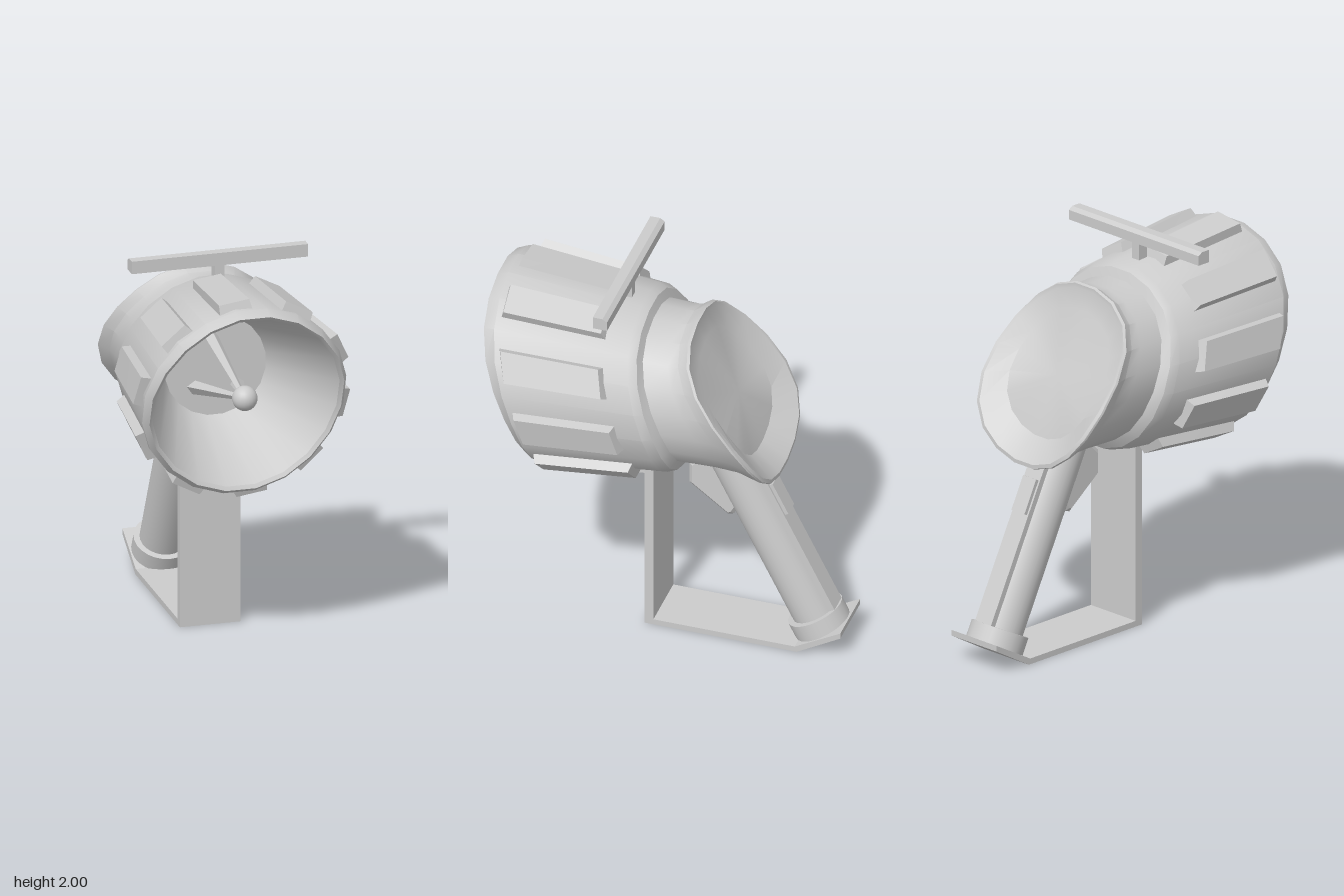
import * as THREE from 'three';
import { toCreasedNormals } from 'three/addons/utils/BufferGeometryUtils.js';

const CY = 1.385; // height of the barrel axis
const SIDES = 20;
const lerp = THREE.MathUtils.lerp;
const material = new THREE.MeshStandardMaterial({ color: 0xcccccc });

function add(parent, name, geometry, x = 0, y = 0, z = 0) {
  const mesh = new THREE.Mesh(geometry, material);
  mesh.name = name;
  mesh.position.set(x, y, z);
  parent.add(mesh);
  return mesh;
}

// Point on a round section whose z slides in an S-curve from bottom to top
function sectionPoint(r, zTop, zBottom, angle) {
  const t = Math.pow((1 + Math.sin(angle)) / 2, 1.2);
  const f = t * t * (3 - 2 * t);
  return [r * Math.cos(angle), CY + r * Math.sin(angle), lerp(zBottom, zTop, f)];
}

// Skin a list of [radius, zTop, zBottom] sections
function loft(sections) {
  const positions = [];
  const index = [];
  sections.forEach(([r, zt, zb]) => {
    for (let j = 0; j < SIDES; j++) {
      positions.push(...sectionPoint(r, zt, zb, ((j + 0.5) / SIDES) * Math.PI * 2));
    }
  });
  for (let i = 0; i < sections.length - 1; i++) {
    for (let j = 0; j < SIDES; j++) {
      const k = (j + 1) % SIDES;
      const a = i * SIDES + j, b = a + SIDES, c = (i + 1) * SIDES + k, d = i * SIDES + k;
      if (sections[i + 1][0] > 0) index.push(a, b, c);
      else index.push(a, b, d);
      if (sections[i][0] > 0 && sections[i + 1][0] > 0) index.push(a, c, d);
      else if (sections[i][0] === 0) index.push(a, b, c);
    }
  }
  const g = new THREE.BufferGeometry();
  g.setAttribute('position', new THREE.Float32BufferAttribute(positions, 3));
  g.setIndex(index);
  return toCreasedNormals(g, 0.5);
}

// Extrude a [z, y] outline across x, centred
function sidePlate(points, width, bevel = 0) {
  const shape = new THREE.Shape(points.map(([z, y]) => new THREE.Vector2(z, y)));
  const g = new THREE.ExtrudeGeometry(shape, {
    depth: width - bevel * 2, bevelEnabled: bevel > 0, bevelSize: bevel,
    bevelOffset: -bevel, bevelThickness: bevel, bevelSegments: 1,
  });
  g.translate(0, 0, -(width - bevel * 2) / 2);
  return g.rotateY(-Math.PI / 2);
}

// Raised grip rib: a box wrapped on to the tapered shell
function ribGeometry(angle) {
  const g = new THREE.BoxGeometry(1, 1, 1, 1, 1, 4);
  const p = g.attributes.position;
  for (let i = 0; i < p.count; i++) {
    const outer = p.getY(i) > 0;
    const u = 0.43 + p.getZ(i) * -(outer ? 0.73 : 0.79);
    const a = angle - p.getX(i) * (outer ? 0.28 : 0.34);
    const r = lerp(0.52, 0.46, u) + (outer ? 0.04 : -0.02);
    p.setXYZ(i, ...sectionPoint(r, lerp(0.84, 0.16, u), lerp(0.62, -0.02, u), a));
  }
  return toCreasedNormals(g, 0.4);
}

export function createModel() {
  const model = new THREE.Group();
  model.name = 'rayProjector';

  // Barrel: front dish, shell, neck, flared rear and recessed rear screen
  add(model, 'barrel', loft([
    [0, 0.2, 0.2], [0.26, 0.2, 0.2], [0.475, 0.88, 0.65], [0.495, 0.9, 0.66],
    [0.52, 0.84, 0.62], [0.46, 0.16, -0.02], [0.44, 0.12, -0.07], [0.395, 0.1, -0.1],
    [0.39, -0.02, -0.3], [0.395, -0.07, -0.42], [0.425, -0.115, -0.54],
    [0.42, -0.13, -0.55], [0.4, -0.13, -0.55], [0.3, -0.16, -0.43], [0, -0.32, -0.32],
  ]));

  // Ten ribs around the shell
  const ribs = new THREE.Group();
  ribs.name = 'gripRibs';
  model.add(ribs);
  for (let i = 0; i < 10; i++) {
    add(ribs, 'rib', ribGeometry(THREE.MathUtils.degToRad(98 - i * 36)));
  }

  // Emitter ball held by three tapered struts
  const tip = new THREE.Vector3(0, 1.395, 0.72);
  add(model, 'emitterBall', new THREE.SphereGeometry(0.063, 20, 14), tip.x, tip.y, tip.z);
  for (const degrees of [97, -43, -136]) {
    const a = THREE.MathUtils.degToRad(degrees);
    const foot = new THREE.Vector3(0.155 * Math.cos(a), CY + 0.155 * Math.sin(a), 0.19);
    const dir = tip.clone().sub(foot);
    const strut = add(model, 'emitterStrut',
      toCreasedNormals(new THREE.CylinderGeometry(0.012, 0.035, dir.length(), 4), 0.5));
    strut.position.copy(foot).lerp(tip, 0.5);
    strut.quaternion.setFromUnitVectors(new THREE.Vector3(0, 1, 0), dir.normalize());
  }

  // Sight bar on its post
  add(model, 'sightPost', new THREE.BoxGeometry(0.05, 0.18, 0.055), 0, 1.87, 0.252);
  add(model, 'sightBar', sidePlate(
    [[0.285, 1.935], [0.285, 2], [0.235, 2], [0.212, 1.985], [0.212, 1.935]], 0.9));

  // Bent strap guard
  add(model, 'guardStrap', sidePlate([
    [0.115, 0.95], [0.115, 0], [-0.67, 0], [-0.895, 0.13], [-0.895, 0.16],
    [-0.66, 0.03], [0.07, 0.03], [0.07, 0.95],
  ], 0.31));

  // Trigger block
  add(model, 'trigger', sidePlate([
    [-0.17, 1.03], [-0.08, 0.94], [-0.08, 0.82], [-0.28, 0.67],
    [-0.31, 0.68], [-0.38, 0.8], [-0.27, 1.03],
  ], 0.13, 0.02));

  // Slanted handle with collar, back strip and thumb block
  const handle = new THREE.Group();
  handle.name = 'handle';
  handle.position.set(0, 0.085, -0.752);
  handle.rotation.x = 0.47;
  model.add(handle);
  add(handle, 'grip', new THREE.CylinderGeometry(0.117, 0.117, 1.1, 24), 0, 0.55, 0);
  add(handle, 'gripCollar', new THREE.CylinderGeometry(0.147, 0.147, 0.09, 24), 0, 0.04, 0);
  add(handle, 'backStrip', new THREE.BoxGeometry(0.11, 0.95, 0.05), 0, 0.5, -0.108);
  add(handle, 'thumbBlock', new THREE.BoxGeometry(0.09, 0.18, 0.06), 0, 0.745, -0.122);

  return model;
}
